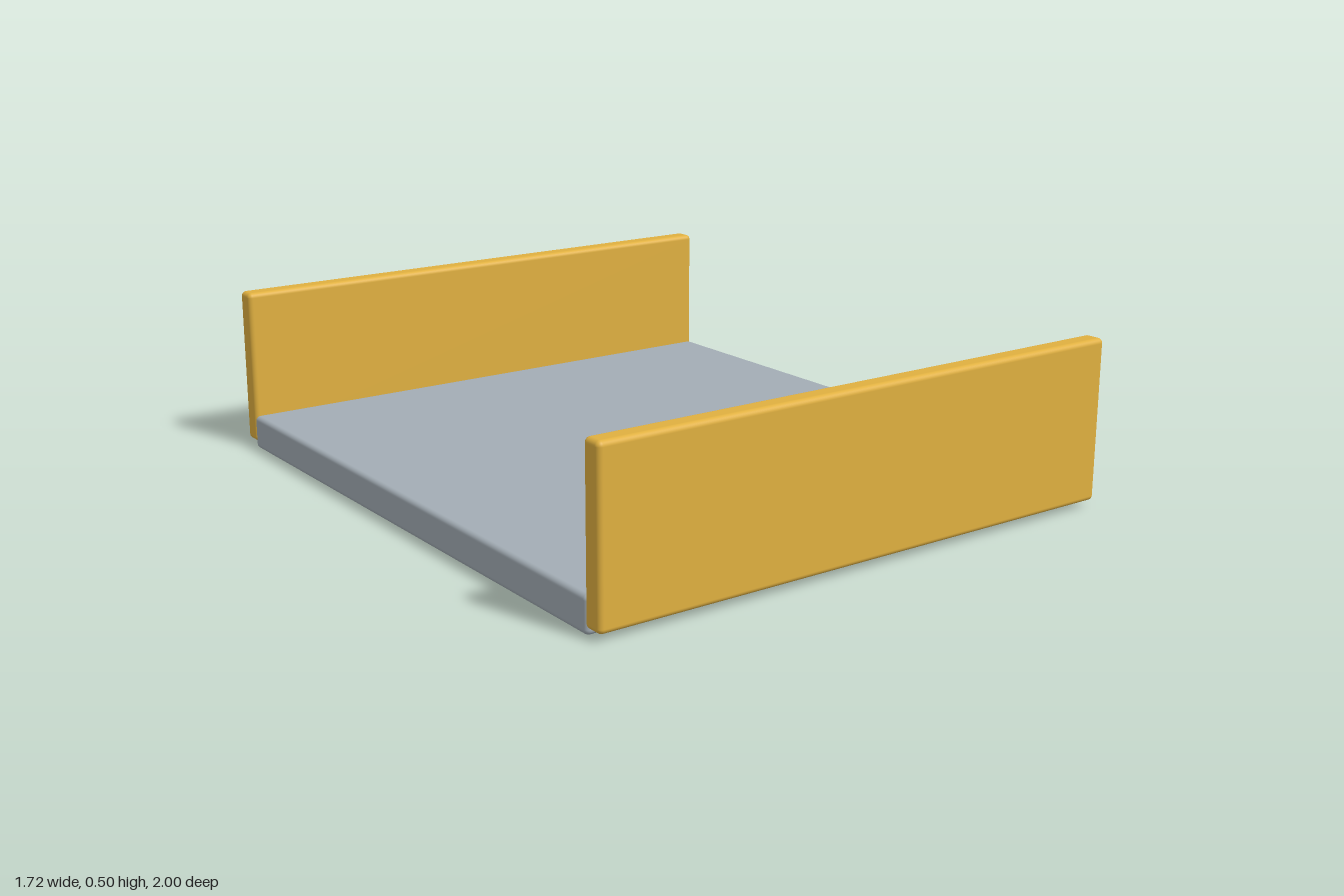
import * as THREE from 'three';
import { RoundedBoxGeometry } from 'three/addons/geometries/RoundedBoxGeometry.js';

// Box with softly rounded edges, centred at (x, y, z)
function roundedPart(name, size, radius, position, material) {
  const mesh = new THREE.Mesh(new RoundedBoxGeometry(...size, 4, radius), material);
  mesh.name = name;
  mesh.position.set(...position);
  return mesh;
}

export function createModel() {
  const model = new THREE.Group();
  model.name = 'tray';
  const grey = new THREE.MeshStandardMaterial({ color: 0xa3adb5 });
  const gold = new THREE.MeshStandardMaterial({ color: 0xe0b040 });

  // Flat base slab
  model.add(roundedPart('base', [1.72, 0.105, 1.89], 0.015, [0, 0.0525, 0], grey));

  // Upright boards at front and back, slightly overlapping the slab
  for (const [name, side] of [['frontBoard', 1], ['backBoard', -1]]) {
    model.add(roundedPart(name, [1.72, 0.48, 0.065], 0.015, [0, 0.26, side * 0.9675], gold));
  }
  return model;
}
